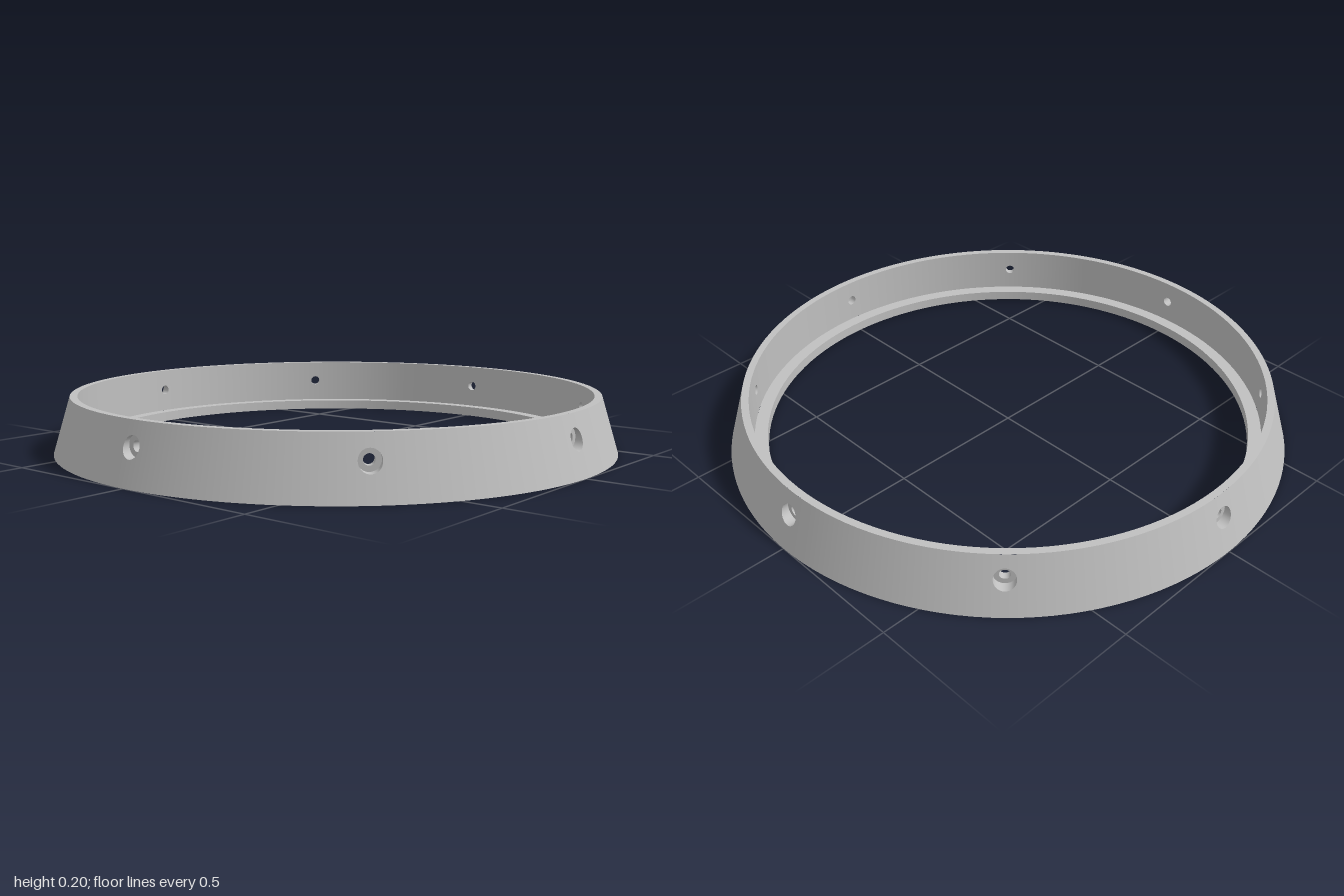
import * as THREE from 'three';
import { ParametricGeometry } from 'three/addons/geometries/ParametricGeometry.js';

const HEIGHT = 0.2, LEDGE_Y = 0.036;
const R_BASE = 1, R_TOP = 0.94, R_WALL = 0.914, R_LIP = 0.868;
const HOLES = 8, HOLE_Y = 0.12, BORE_R = 0.036, PIN_R = 0.018, BORE_FLOOR = 0.94;
const HALF = Math.PI / 64; // half angle of the wall patch around each hole

const outerRadius = (y) => R_BASE + (R_TOP - R_BASE) * (y / HEIGHT);
const wallRadius = () => R_WALL;

// Wall patch running from a rectangular border to a round hole
function holePatch(radiusAt, yMin, holeR, inward) {
  return new ParametricGeometry((u, v, target) => {
    const a = u * Math.PI * 2, c = Math.cos(a), s = Math.sin(a);
    const m = Math.max(Math.abs(c), Math.abs(s));
    const edgeY = HOLE_Y + (s / m) * (s > 0 ? HEIGHT - HOLE_Y : HOLE_Y - yMin);
    const edgeT = (c / m) * HALF;
    const holeY = HOLE_Y + s * holeR;
    const holeT = Math.asin((c * holeR) / radiusAt(holeY));
    const k = inward ? 1 - v : v;
    const y = edgeY + (holeY - edgeY) * k, t = edgeT + (holeT - edgeT) * k;
    const r = radiusAt(y);
    target.set(r * Math.sin(t), y, r * Math.cos(t));
  }, 32, 4);
}

// Inside surface of a round bore between two depths
function bore(r, depthOut, depthIn) {
  return new ParametricGeometry((u, v, target) => {
    const a = u * Math.PI * 2, x = r * Math.cos(a), y = HOLE_Y + r * Math.sin(a);
    const z0 = depthOut(x, y), z1 = depthIn(x, y);
    target.set(x, y, z0 + (z1 - z0) * v);
  }, 32, 1);
}

export function createModel() {
  const group = new THREE.Group();
  group.name = 'mountingRing';
  const metal = new THREE.MeshStandardMaterial({ color: 0xbfbfbf });
  metal.name = 'greyMetal';

  const add = (parent, name, geometry) => {
    const mesh = new THREE.Mesh(geometry, metal);
    mesh.name = name;
    parent.add(mesh);
    return mesh;
  };
  const band = (r0, y0, r1, y1, segments = 128, start = 0, length = Math.PI * 2) =>
    new THREE.LatheGeometry([new THREE.Vector2(r0, y0), new THREE.Vector2(r1, y1)], segments, start, length);

  // Full rings: rim, ledge, lip and underside
  add(group, 'topRim', band(R_TOP, HEIGHT, R_WALL, HEIGHT));
  add(group, 'ledge', band(R_WALL, LEDGE_Y, R_LIP, LEDGE_Y));
  add(group, 'lip', band(R_LIP, LEDGE_Y, R_LIP, 0));
  add(group, 'underside', band(R_LIP, 0, R_BASE, 0));

  // One sector: walls, then the counterbored hole
  const sweep = (Math.PI * 2) / HOLES - 2 * HALF;
  const floorRing = new THREE.RingGeometry(PIN_R, BORE_R, 32);
  floorRing.translate(0, HOLE_Y, BORE_FLOOR);
  const onOuter = (x, y) => Math.sqrt(outerRadius(y) ** 2 - x * x);
  const onWall = (x) => Math.sqrt(R_WALL ** 2 - x * x);
  const floor = () => BORE_FLOOR;
  const parts = {
    outerWall: band(R_BASE, 0, R_TOP, HEIGHT, 14, HALF, sweep),
    innerWall: band(R_WALL, HEIGHT, R_WALL, LEDGE_Y, 14, HALF, sweep),
    outerHolePatch: holePatch(outerRadius, 0, BORE_R, false),
    innerHolePatch: holePatch(wallRadius, LEDGE_Y, PIN_R, true),
    counterbore: bore(BORE_R, onOuter, floor),
    counterboreFloor: floorRing,
    throughHole: bore(PIN_R, floor, onWall),
  };

  // Repeat the sector around the ring
  for (let i = 0; i < HOLES; i++) {
    const sector = new THREE.Group();
    sector.name = `wallSector${i + 1}`;
    sector.rotation.y = (i / HOLES) * Math.PI * 2;
    for (const [name, geometry] of Object.entries(parts)) add(sector, name, geometry);
    group.add(sector);
  }
  return group;
}
